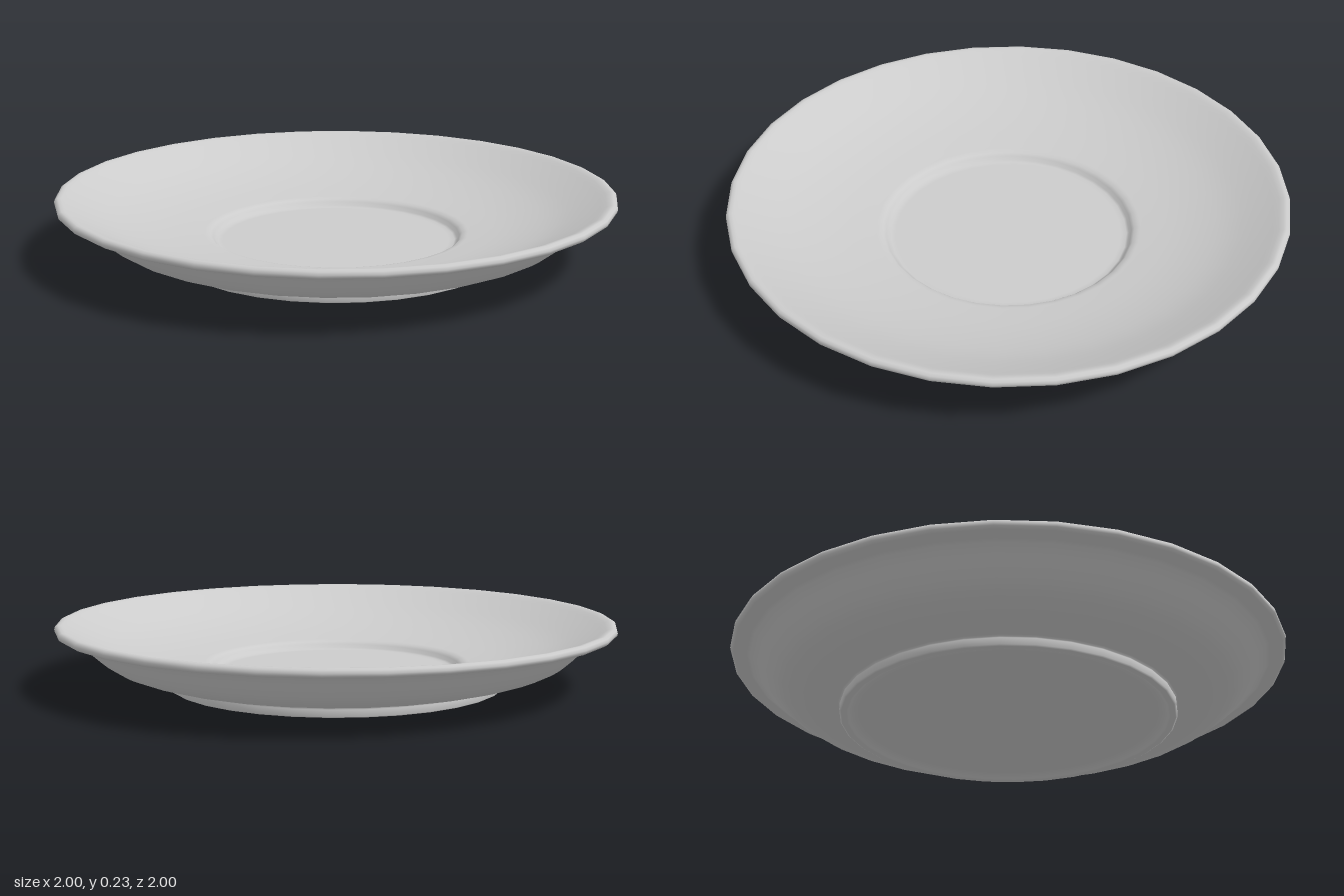
import * as THREE from 'three';

const SIDES = 32;

// Smooth run of profile points through a few control points
function curve(points, divisions) {
  return new THREE.SplineCurve(points.map(([r, y]) => new THREE.Vector2(r, y))).getPoints(divisions);
}

const line = (points) => points.map(([r, y]) => new THREE.Vector2(r, y));

export function createModel() {
  const group = new THREE.Group();
  group.name = 'saucer';
  const material = new THREE.MeshStandardMaterial({ color: 0xcccccc });

  // Recessed base and foot ring
  const foot = line([
    [0, 0.015], [0.54, 0.015], [0.558, 0.015], [0.572, 0.003], [0.58, 0],
    [0.597, 0], [0.604, 0.004], [0.604, 0.028], [0.601, 0.034],
  ]);
  // Underside sweeping up to the rim
  const underside = curve([
    [0.61, 0.037], [0.7, 0.054], [0.8, 0.087], [0.86, 0.13], [0.91, 0.177], [0.94, 0.198],
  ], 12);
  // Rounded lip
  const lip = line([
    [0.965, 0.202], [0.988, 0.204], [0.998, 0.211], [1, 0.22], [0.997, 0.23], [0.987, 0.235], [0.975, 0.234],
  ]);
  // Upper dish surface falling towards the centre
  const dish = curve([
    [0.96, 0.228], [0.9, 0.198], [0.8, 0.153], [0.7, 0.122], [0.6, 0.1], [0.5, 0.085], [0.47, 0.081],
  ], 14);
  // Step down into the flat cup well
  const well = line([
    [0.455, 0.077], [0.445, 0.068], [0.437, 0.056], [0.428, 0.051], [0.41, 0.05], [0, 0.05],
  ]);

  const profile = [...foot, ...underside, ...lip, ...dish, ...well];
  const plate = new THREE.Mesh(new THREE.LatheGeometry(profile, SIDES), material);
  plate.name = 'plate';
  group.add(plate);
  return group;
}
